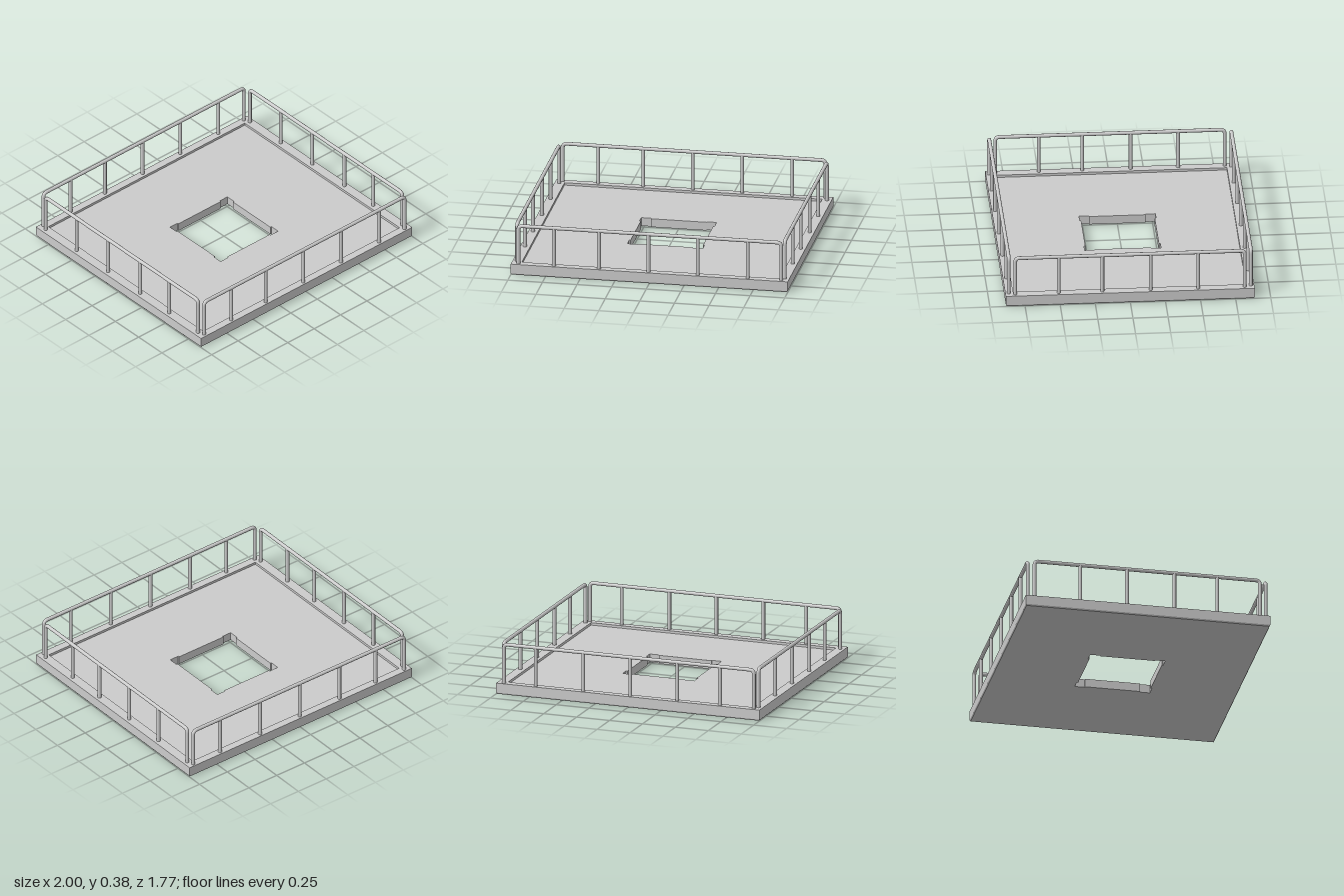
import * as THREE from 'three';

const HX = 1, HZ = 0.886;        // half size of the slab
const FLOOR = 0.062, TOP = 0.08; // deck floor and rim heights
const R = 0.0135, RAIL_Y = 0.364;

const mat = new THREE.MeshStandardMaterial({ color: 0xcccccc });

const rect = (x, z) => [[-x, -z], [x, -z], [x, z], [-x, z]].map(p => new THREE.Vector2(...p));

// Square opening with a small square relief in each corner
function openingPath() {
  const a = 0.262, b = 0.272, c = 0.2;
  const corner = [[c, a], [c, b], [b, b], [b, c], [a, c]];
  const pts = [];
  for (let i = 0; i < 4; i++) {
    const s = Math.round(Math.cos(i * Math.PI / 2)), t = Math.round(Math.sin(i * Math.PI / 2));
    // turn each corner clockwise in step with the corner's own point order
    for (const [x, y] of corner) pts.push(new THREE.Vector2(x * s + y * t, -x * t + y * s));
  }
  return pts;
}

// Horizontal layer of the slab, from y0 to y1
function layer(name, y0, y1, hole, taper = 0) {
  const shape = new THREE.Shape(rect(HX, HZ));
  shape.holes.push(new THREE.Path(hole));
  const geo = new THREE.ExtrudeGeometry(shape, { depth: y1 - y0, bevelEnabled: false });
  geo.rotateX(-Math.PI / 2).translate(0, y0, 0);
  const p = geo.attributes.position;
  // draw in the lower outer edge as a small chamfer
  for (let i = 0; taper && i < p.count; i++) {
    if (p.getY(i) > y0 + 1e-4 || Math.abs(p.getX(i)) < 0.5) continue;
    p.setX(i, p.getX(i) - Math.sign(p.getX(i)) * taper);
    p.setZ(i, p.getZ(i) - Math.sign(p.getZ(i)) * taper);
  }
  geo.computeVertexNormals();
  const mesh = new THREE.Mesh(geo, mat);
  mesh.name = name;
  return mesh;
}

// Railing along local x: one bent tube plus intermediate posts
function railing(name, half, posts) {
  const g = new THREE.Group();
  g.name = name;
  const bend = 0.03, foot = FLOOR, V = (x, y) => new THREE.Vector3(x, y, 0);
  const path = new THREE.CurvePath();
  const line = (a, b) => path.add(new THREE.LineCurve3(a, b));
  const arc = (a, b, c) => path.add(new THREE.QuadraticBezierCurve3(a, b, c));
  line(V(-half, foot), V(-half, RAIL_Y - bend));
  arc(V(-half, RAIL_Y - bend), V(-half, RAIL_Y), V(-half + bend, RAIL_Y));
  line(V(-half + bend, RAIL_Y), V(half - bend, RAIL_Y));
  arc(V(half - bend, RAIL_Y), V(half, RAIL_Y), V(half, RAIL_Y - bend));
  line(V(half, RAIL_Y - bend), V(half, foot));
  const bar = new THREE.Mesh(new THREE.TubeGeometry(path, 260, R, 12), mat);
  bar.name = 'handrail';
  g.add(bar);
  const h = RAIL_Y - foot;
  const postGeo = new THREE.CylinderGeometry(R, R, h, 12);
  for (const x of posts) {
    const post = new THREE.Mesh(postGeo, mat);
    post.name = 'post';
    post.position.set(x, foot + h / 2, 0);
    g.add(post);
  }
  return g;
}

export function createModel() {
  const model = new THREE.Group();
  model.name = 'railedPlatform';

  // Slab: chamfered underside, deck with opening, raised rim
  const opening = openingPath();
  model.add(layer('underside', 0, 0.01, opening, 0.006));
  model.add(layer('deck', 0.01, FLOOR, opening));
  model.add(layer('rim', FLOOR, TOP, rect(0.93, 0.83)));

  // Front and back railings
  const longPosts = [-0.692, -0.367, -0.01, 0.347, 0.708];
  for (const s of [1, -1]) {
    const rail = railing(s > 0 ? 'frontRailing' : 'backRailing', 0.949, longPosts);
    rail.position.z = s * 0.862;
    model.add(rail);
  }

  // Side railings, turned so local x runs along -z
  const sidePosts = [-0.507, -0.197, 0.147, 0.485];
  for (const s of [1, -1]) {
    const rail = railing(s > 0 ? 'leftRailing' : 'rightRailing', 0.817, sidePosts);
    rail.rotation.y = Math.PI / 2;
    rail.position.x = s * 0.967;
    model.add(rail);
  }
  return model;
}
